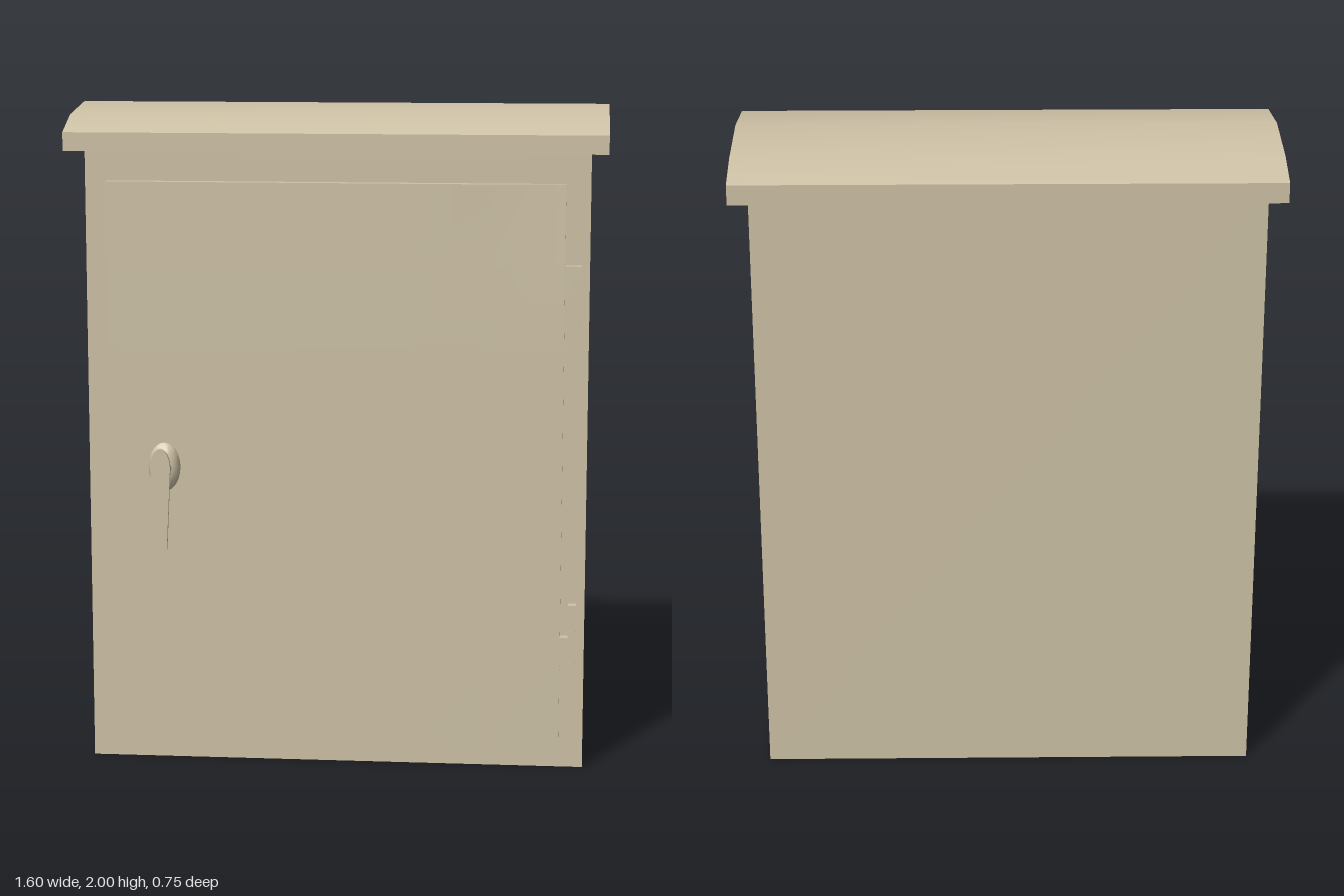
import * as THREE from 'three';
import { toCreasedNormals } from 'three/addons/utils/BufferGeometryUtils.js';

export function createModel() {
  const group = new THREE.Group();
  const paint = new THREE.MeshStandardMaterial({ color: 0xcdc1a5 });

  const add = (name, geometry, parent = group) => {
    const mesh = new THREE.Mesh(geometry, paint);
    mesh.name = name;
    parent.add(mesh);
    return mesh;
  };
  // Box given by its lower and upper limits on each axis
  const box = (x0, x1, y0, y1, z0, z1, segX = 1, segY = 1) =>
    new THREE.BoxGeometry(x1 - x0, y1 - y0, z1 - z0, segX, segY, 1)
      .translate((x0 + x1) / 2, (y0 + y1) / 2, (z0 + z1) / 2);
  const extrude = (shape, depth, curveSegments = 10) =>
    new THREE.ExtrudeGeometry(shape, { depth, bevelEnabled: false, curveSegments });
  const polygon = (pts) => new THREE.Shape(pts.map(([x, y]) => new THREE.Vector2(x, y)));

  // Cabinet
  add('cabinetBody', box(-0.755, 0.75, 0, 1.875, -0.26, 0.25));

  // Arched roof: profile in (-z, y), swept along x
  const roofShape = polygon([
    [-0.36, 1.875], [0.375, 1.875], [0.375, 1.935], [0.24, 1.973], [0, 2], [-0.235, 1.974], [-0.36, 1.93],
  ]);
  const roof = extrude(roofShape, 1.6).rotateY(Math.PI / 2).translate(-0.8, 0, 0);
  add('roof', toCreasedNormals(roof, 0.5));

  // Door panel, its upper hinge corner pressed slightly back
  const door = box(-0.69, 0.677, 0.07, 1.78, 0.245, 0.285, 6, 7);
  const p = door.attributes.position;
  for (let i = 0; i < p.count; i++) {
    if (p.getZ(i) > 0.28 && p.getX(i) > 0.67 && p.getY(i) > 1.77) p.setZ(i, 0.268);
  }
  door.computeVertexNormals();
  add('door', toCreasedNormals(door, 0.5));

  // L-shaped hinge leaves, mirrored top to bottom
  for (const [name, y, dir] of [['upperHinge', 1.44, 1], ['lowerHinge', 0.413, -1]]) {
    const pts = [[0.675, 0], [0.7, 0], [0.7, -0.1], [0.725, -0.1], [0.725, 0.1], [0.675, 0.1]]
      .map(([px, py]) => [px, y + dir * py]);
    add(name, extrude(polygon(pts), 0.037).translate(0, 0, 0.245));
  }

  // Lock handle: oval base plate, spindle and tapered lever
  const handle = new THREE.Group();
  handle.name = 'handle';
  handle.position.set(-0.52, 0.92, 0.283);
  group.add(handle);
  const profile = [[0.048, 0], [0.048, 0.01], [0.036, 0.026], [0.025, 0.032], [0, 0.032]]
    .map(([r, h]) => new THREE.Vector2(r, h));
  const base = new THREE.LatheGeometry(profile, 24).rotateX(Math.PI / 2).scale(1, 1.55, 1);
  add('handleBase', toCreasedNormals(base, 0.7), handle);
  add('handleSpindle', new THREE.CylinderGeometry(0.025, 0.025, 0.06, 20)
    .rotateX(Math.PI / 2).translate(0, 0, 0.055), handle);

  const lever = new THREE.Shape();
  lever.moveTo(-0.03, 0.01);
  lever.lineTo(-0.018, -0.232);
  lever.absarc(0, -0.232, 0.018, Math.PI, Math.PI * 2, false);
  lever.lineTo(0.03, 0.01);
  lever.absellipse(0, 0.01, 0.03, 0.06, 0, Math.PI, false, 0);
  add('handleLever', toCreasedNormals(extrude(lever, 0.012), 0.6).translate(0, 0, 0.081), handle);

  return group;
}
